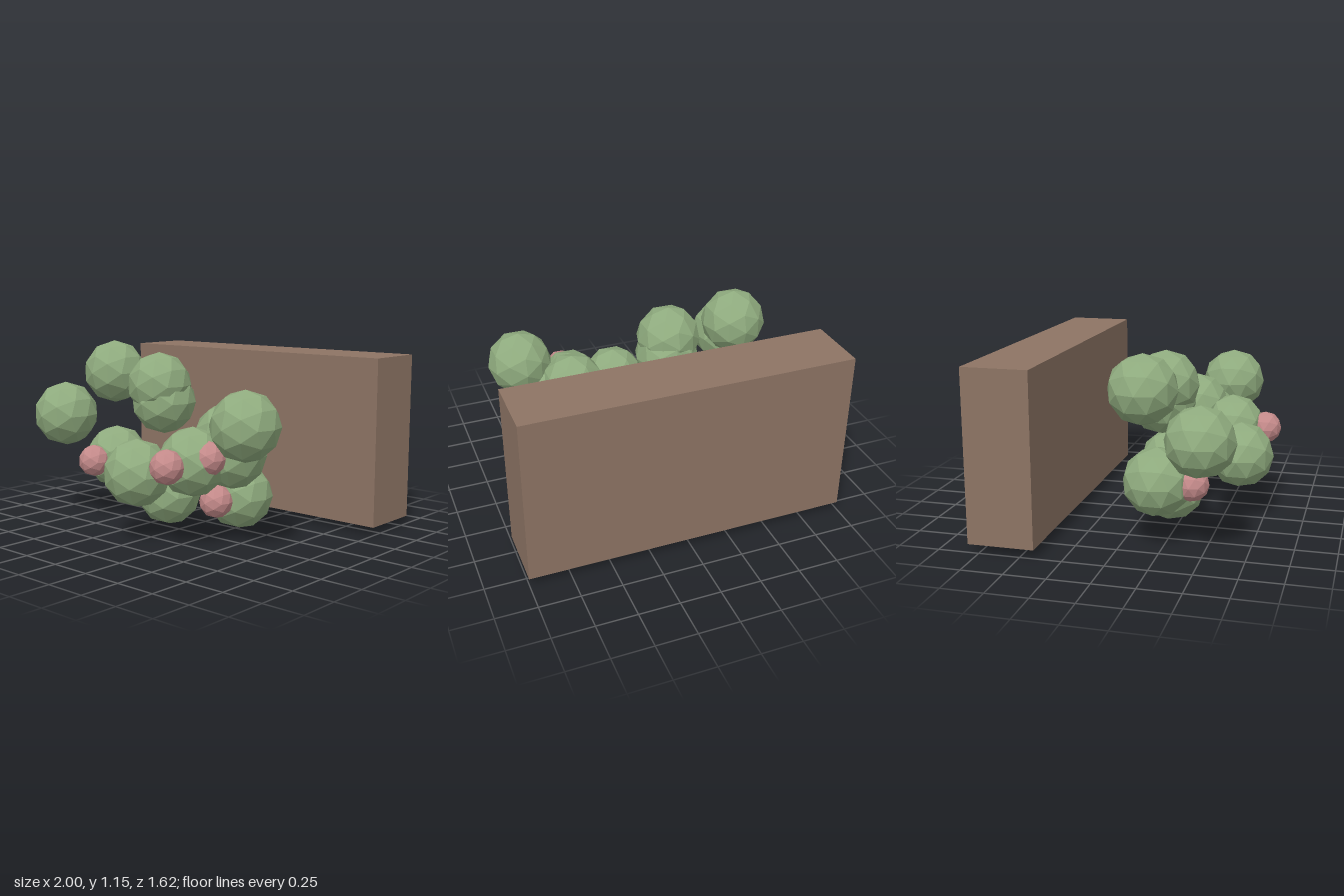
import * as THREE from 'three';

const mat = (color) => new THREE.MeshStandardMaterial({ color, flatShading: true });

export function createModel() {
  const model = new THREE.Group();
  const green = mat(0x8fab7e);
  const pink = mat(0xc48a8a);

  // Solid block standing behind the foliage
  const block = new THREE.Mesh(new THREE.BoxGeometry(2, 1.035, 0.4), mat(0x8d7464));
  block.name = 'backBlock';
  block.position.set(0, 0.5725, -0.617);
  model.add(block);

  // Adds one faceted ball per centre
  const addBalls = (name, radius, material, centres) => {
    const group = new THREE.Group();
    group.name = name + 's';
    const geometry = new THREE.IcosahedronGeometry(radius, 1);
    centres.forEach((c, i) => {
      const ball = new THREE.Mesh(geometry, material);
      ball.name = name + (i + 1);
      ball.position.set(...c);
      group.add(ball);
    });
    model.add(group);
  };

  // Leaf clumps
  addBalls('leafClump', 0.206, green, [
    [-0.68, 0.947, 0.14],
    [-0.775, 0.692, 0.49],
    [-0.60, 0.39, 0.205],
    [-0.24, 0.893, 0.17],
    [-0.222, 0.785, 0.147],
    [-0.142, 0.211, 0.188],
    [-0.01, 0.417, 0.60],
    [0.335, 0.513, 0.49],
    [0.39, 0.631, 0.24],
    [0.465, 0.545, 0.29],
    [0.68, 0.749, 0.435],
    [0.343, 0.246, 0.072],
  ]);

  // Blossoms on the front of some clumps
  addBalls('blossom', 0.103, pink, [
    [-0.60, 0.39, 0.41],
    [0.335, 0.513, 0.705],
    [0.47, 0.55, 0.505],
    [0.343, 0.246, 0.292],
  ]);

  return model;
}
